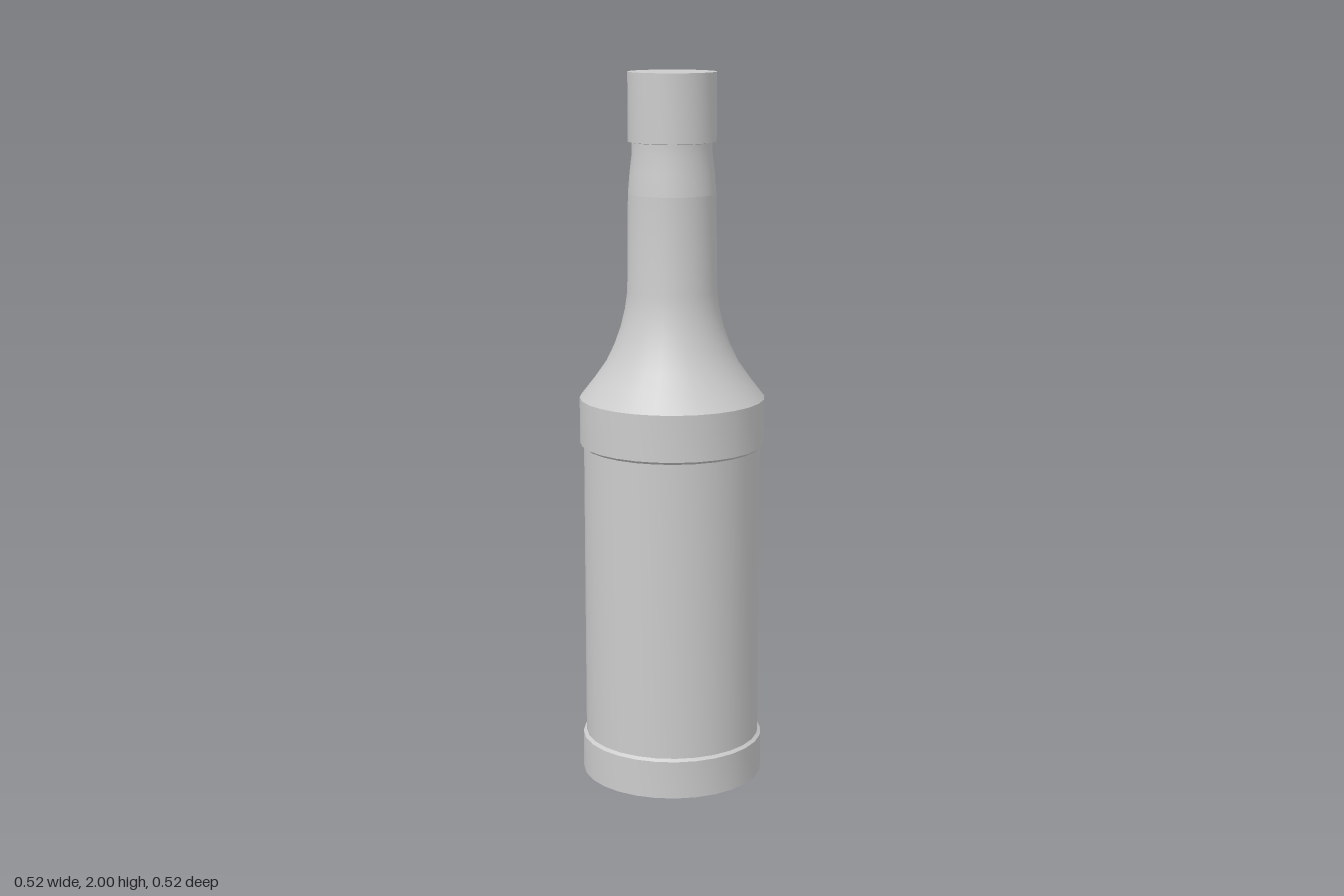
import * as THREE from 'three';
import { toCreasedNormals } from 'three/addons/utils/BufferGeometryUtils.js';

const SIDES = 28;

export function createModel() {
  const bottle = new THREE.Group();
  bottle.name = 'bottle';
  const material = new THREE.MeshStandardMaterial({ color: 0xcccccc });

  // Turns a [radius, height] profile, listed bottom to top, around the y axis
  function turned(name, profile) {
    const points = profile.map(([r, y]) => new THREE.Vector2(r, y));
    const geometry = toCreasedNormals(new THREE.LatheGeometry(points, SIDES), 0.6);
    const mesh = new THREE.Mesh(geometry, material);
    mesh.name = name;
    bottle.add(mesh);
  }

  // Closed foot with a small ledge up to the body
  turned('base', [[0, 0], [0.258, 0], [0.258, 0.108], [0.249, 0.115]]);

  // Straight label section
  turned('body', [[0.249, 0.115], [0.249, 0.962]]);

  // Raised band below the shoulder
  turned('shoulderBand', [[0.249, 0.962], [0.26, 0.97], [0.26, 1.1]]);

  // Concave shoulder flowing into the neck
  turned('shoulder', [
    [0.26, 1.1], [0.221, 1.15], [0.186, 1.2], [0.162, 1.25],
    [0.144, 1.3], [0.132, 1.35], [0.125, 1.4], [0.122, 1.67],
  ]);

  // Tapered upper neck
  turned('neck', [[0.122, 1.67], [0.117, 1.73], [0.111, 1.78], [0.111, 1.81]]);

  // Flat-topped cap overhanging the neck
  turned('cap', [[0.111, 1.81], [0.122, 1.812], [0.122, 2], [0, 2]]);

  return bottle;
}
